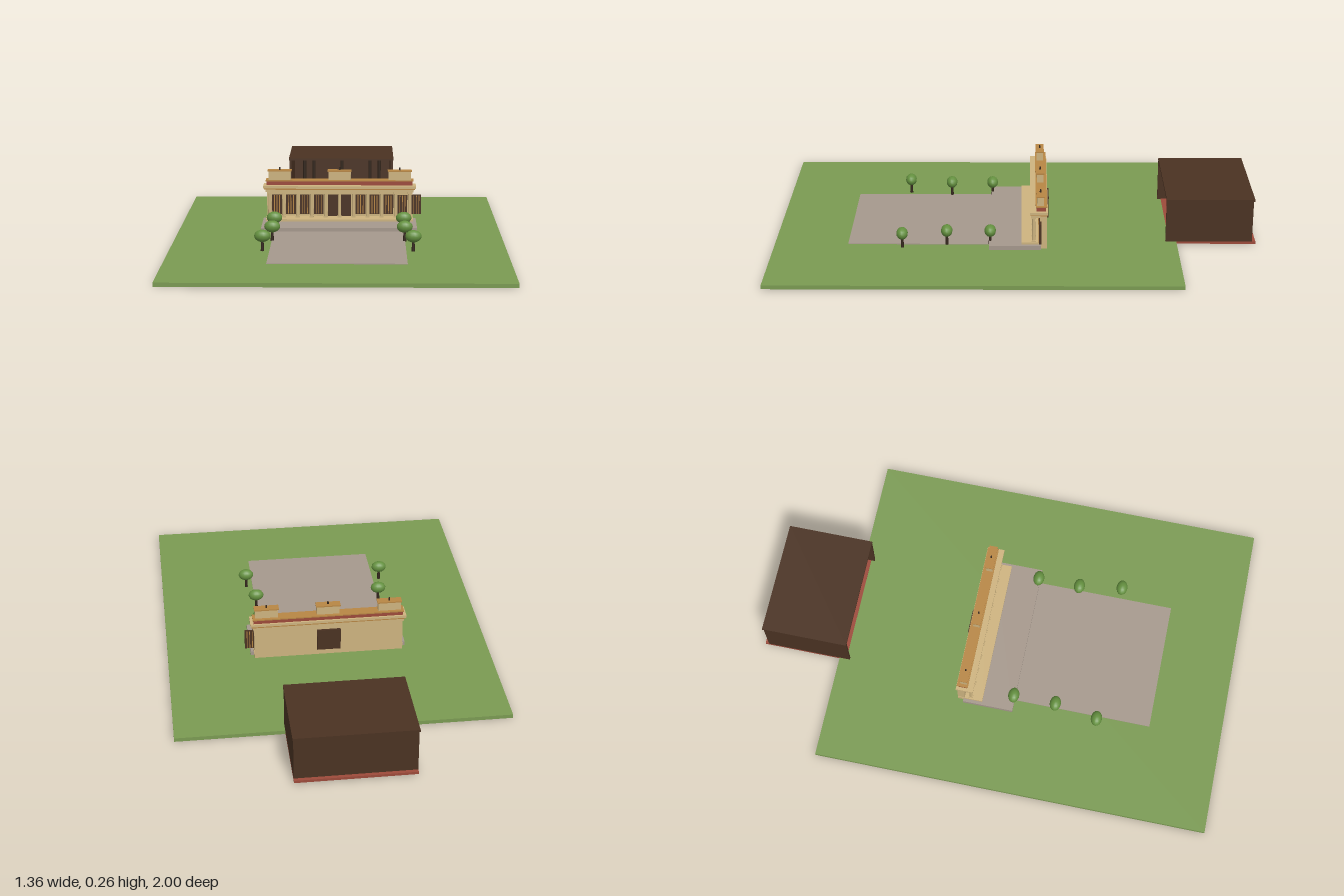
import * as THREE from 'three';

const mat = (name, color) => {
  const m = new THREE.MeshStandardMaterial({ color });
  m.name = name;
  return m;
};

export function createModel() {
  const root = new THREE.Group();
  root.name = 'pavilionAndHall';
  const grass = mat('grass', 0x7a9a52);
  const paving = mat('paving', 0xa5988c);
  const stone = mat('sandstone', 0xcdb37f);
  const gold = mat('ochre', 0xb78644);
  const red = mat('redBrick', 0x9c4a3a);
  const wood = mat('darkWood', 0x4a3222);
  const iron = mat('darkMetal', 0x33261c);
  const leaf = mat('foliage', 0x64903f);

  const add = (name, geo, m, x = 0, y = 0, z = 0, parent = root) => {
    const mesh = new THREE.Mesh(geo, m);
    mesh.name = name;
    mesh.position.set(x, y, z);
    parent.add(mesh);
    return mesh;
  };
  // Box given by its lower and upper limits on each axis
  const box = (name, m, x0, x1, y0, y1, z0, z1, parent = root) =>
    add(name, new THREE.BoxGeometry(x1 - x0, y1 - y0, z1 - z0), m,
      (x0 + x1) / 2, (y0 + y1) / 2, (z0 + z1) / 2, parent);
  const group = (name) => {
    const g = new THREE.Group();
    g.name = name;
    root.add(g);
    return g;
  };

  // Grounds
  box('lawn', grass, -0.68, 0.68, 0, 0.016, -0.67, 1);
  box('plaza', paving, -0.275, 0.275, 0.012, 0.0185, 0.05, 0.695);
  box('terrace', paving, -0.33, 0.33, 0.014, 0.034, -0.105, 0.11);
  box('porchStep', stone, -0.317, 0.317, 0.03, 0.043, -0.13, -0.024);

  // Pavilion wall, doorway and roof bands
  const hall = group('pavilion');
  box('rearWall', stone, -0.315, 0.315, 0.016, 0.166, -0.13, -0.1, hall);
  box('doorway', wood, -0.05, 0.05, 0.043, 0.138, -0.14, -0.096, hall);
  box('architrave', stone, -0.32, 0.32, 0.154, 0.165, -0.13, -0.064, hall);
  box('ochreBand', gold, -0.326, 0.326, 0.165, 0.17, -0.132, -0.062, hall);
  box('cornice', stone, -0.33, 0.33, 0.17, 0.181, -0.133, -0.06, hall);
  box('atticBand', red, -0.316, 0.316, 0.181, 0.198, -0.125, -0.087, hall);
  box('atticCap', gold, -0.32, 0.32, 0.198, 0.203, -0.13, -0.083, hall);

  // Colonnade: shaft, base and capital
  const pitch = 0.0605;
  const shaft = new THREE.CylinderGeometry(0.006, 0.0072, 0.104, 12);
  for (let i = -5; i <= 5; i++) {
    const x = i * pitch;
    add('columnShaft', shaft, stone, x, 0.098, -0.075, hall);
    box('columnBase', stone, x - 0.009, x + 0.009, 0.043, 0.049, -0.084, -0.066, hall);
    box('columnCapital', stone, x - 0.01, x + 0.01, 0.147, 0.154, -0.085, -0.065, hall);
  }

  // Barred windows, the last one standing past the wall end
  for (let k = 0; k <= 10; k++) {
    if (k === 4 || k === 5) continue;
    const x = (k - 4.5) * pitch;
    box('windowPanel', wood, x - 0.021, x + 0.021, 0.052, 0.137, -0.106, -0.097, hall);
    for (const d of [-0.011, 0, 0.011])
      box('windowBar', gold, x + d - 0.0015, x + d + 0.0015, 0.054, 0.135, -0.107, -0.095, hall);
  }

  // Three roof turrets
  for (const x of [-0.26, 0, 0.26]) {
    box('turret', stone, x - 0.048, x + 0.048, 0.203, 0.24, -0.117, -0.089, hall);
    box('turretCap', gold, x - 0.052, x + 0.052, 0.24, 0.245, -0.121, -0.085, hall);
    add('finial', new THREE.CylinderGeometry(0.003, 0.004, 0.014, 8), iron, x, 0.25, -0.103, hall);
  }

  // Rear hall, open at its front
  const barn = group('rearHall');
  box('hallFloor', red, -0.24, 0.24, 0.006, 0.0168, -1, -0.64, barn);
  for (const s of [-1, 1])
    box('hallSideWall', wood, s * 0.235 - 0.005, s * 0.235 + 0.005, 0.0165, 0.198, -0.985, -0.625, barn);
  box('hallBackWall', wood, -0.232, 0.232, 0.0165, 0.198, -0.985, -0.975, barn);
  box('hallRoof', wood, -0.243, 0.243, 0.196, 0.205, -0.99, -0.625, barn);
  const post = new THREE.CylinderGeometry(0.008, 0.008, 0.18, 10);
  for (const x of [-0.18, -0.135, 0, 0.135, 0.18])
    add('hallPost', post, iron, x, 0.106, -0.93, barn);
  for (const x of [-0.05, 0.04])
    box('lowTable', stone, x - 0.02, x + 0.02, 0.0165, 0.024, -0.795, -0.775, barn);

  // Mirrored rows of trees
  const trunk = new THREE.CylinderGeometry(0.005, 0.007, 0.05, 8);
  const crown = new THREE.SphereGeometry(1, 14, 10).scale(0.033, 0.025, 0.024);
  for (const [x, z] of [[0.273, 0.105], [0.273, 0.285], [0.303, 0.468]])
    for (const s of [-1, 1]) {
      const tree = group('tree');
      tree.position.set(s * x, 0, z);
      add('trunk', trunk, iron, 0, 0.039, 0, tree);
      add('crown', crown, leaf, 0, 0.078, 0, tree);
    }
  return root;
}
